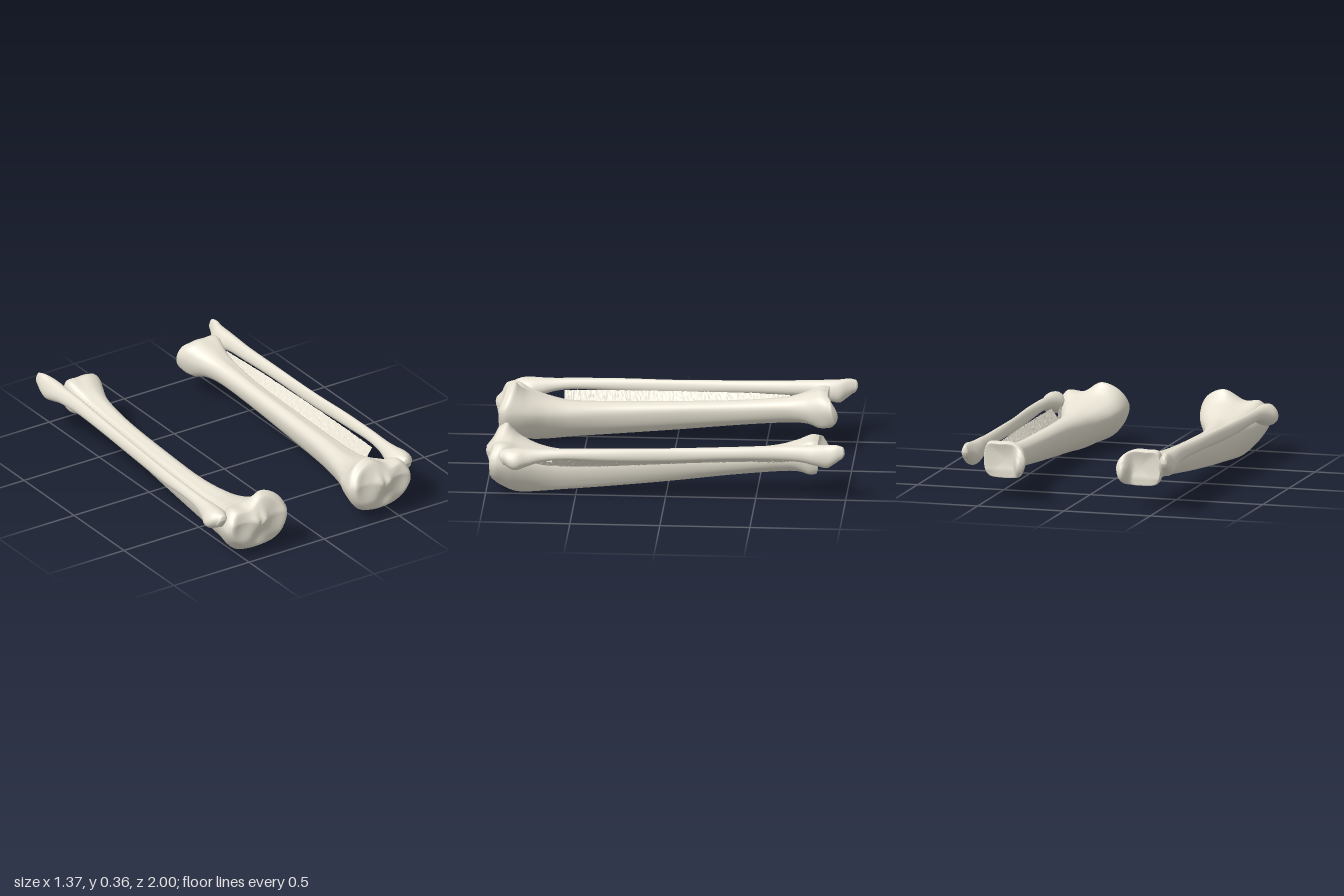
import * as THREE from 'three';

const { lerp, smoothstep } = THREE.MathUtils;
const boneMat = new THREE.MeshStandardMaterial({ color: 0xe6e1d2 });
const sheetMat = new THREE.MeshStandardMaterial({ color: 0xe6e1d2, side: THREE.DoubleSide, flatShading: true });

// Smooth interpolation through a table of stations, t in 0..1
function sample(table, t) {
  const f = t * (table.length - 1);
  const i = Math.min(Math.floor(f), table.length - 2);
  const u = f - i;
  const row = (k) => table[Math.max(0, Math.min(table.length - 1, k))];
  return row(i).map((b, c) => {
    const a = row(i - 1)[c], d = row(i + 1)[c], e = row(i + 2)[c];
    const m0 = (d - a) / 2, m1 = (e - b) / 2;
    return b + u * (m0 + u * (3 * (d - b) - 2 * m0 - m1 + u * (2 * (b - d) + m0 + m1)));
  });
}

// Closed loft from +z to -z with rounded caps; warp(x, y, z, s) returns a z shift
function loft(table, section, warp, capFront, capBack, rings, sides) {
  const pos = [], index = [];
  let count = 0;
  const addRing = (row, s, dz) => {
    const pts = section(row, sides);
    const cx = pts.reduce((a, p) => a + p[0], 0) / sides;
    const cy = pts.reduce((a, p) => a + p[1], 0) / sides;
    for (const p of pts) {
      const x = lerp(cx, p[0], s), y = lerp(cy, p[1], s), z = row[0] + dz;
      pos.push(x, y, z + warp(x, y, z, s));
    }
    count++;
  };
  const capSteps = [0, 0.12, 0.25, 0.38, 0.5, 0.62, 0.74, 0.84, 0.92, 0.975];
  for (const s of capSteps) addRing(table[0], s, capFront * Math.sqrt(1 - s * s));
  for (let i = 0; i <= rings; i++) addRing(sample(table, i / rings), 1, 0);
  for (const s of [...capSteps].reverse()) addRing(table[table.length - 1], s, -capBack * Math.sqrt(1 - s * s));
  for (let r = 0; r < count - 1; r++) {
    for (let k = 0; k < sides; k++) {
      const a = r * sides + k, b = r * sides + (k + 1) % sides;
      index.push(a, a + sides, b, b, a + sides, b + sides);
    }
  }
  const geo = new THREE.BufferGeometry();
  geo.setAttribute('position', new THREE.Float32BufferAttribute(pos, 3));
  geo.setIndex(index);
  geo.computeVertexNormals();
  return geo;
}

// Shin bone: z, xMedial, xLateral, yFront, yBackMedial, yBackLateral, xCrest, yWidest
const tibiaTable = [
  [0.968, 0.226, 0.598, 0.066, 0.348, 0.299, 0.44, 0.2],
  [0.935, 0.208, 0.612, 0.043, 0.362, 0.306, 0.455, 0.2],
  [0.87, 0.22, 0.6, 0.016, 0.33, 0.3, 0.465, 0.2],
  [0.8, 0.245, 0.572, 0.004, 0.284, 0.276, 0.465, 0.19],
  [0.7, 0.295, 0.535, 0.008, 0.25, 0.25, 0.46, 0.17],
  [0.58, 0.335, 0.512, 0.02, 0.235, 0.23, 0.46, 0.16],
  [0.35, 0.37, 0.5, 0.04, 0.232, 0.228, 0.455, 0.165],
  [0, 0.375, 0.49, 0.075, 0.243, 0.238, 0.445, 0.185],
  [-0.35, 0.37, 0.48, 0.115, 0.26, 0.255, 0.43, 0.2],
  [-0.6, 0.35, 0.487, 0.138, 0.285, 0.28, 0.42, 0.22],
  [-0.72, 0.315, 0.503, 0.142, 0.312, 0.312, 0.41, 0.225],
  [-0.8, 0.273, 0.514, 0.132, 0.338, 0.345, 0.41, 0.23],
  [-0.845, 0.264, 0.511, 0.138, 0.33, 0.338, 0.42, 0.23],
];

// Triangular along the shaft, wider at the knee and squarer at the ankle
function tibiaSection([z, x0, x1, y0, yM, yL, cx, yw], sides) {
  const knee = smoothstep(z, 0.8, 0.93), ankle = smoothstep(-z, 0.68, 0.83);
  const low = lerp(0.42, 0.17, ankle);
  const pts = [
    [cx, y0],
    [lerp(cx, x1, 0.75 - 0.13 * knee), lerp(y0, yw, low - 0.12 * knee)],
    [x1, yw],
    [lerp(x0, x1, 0.87 + 0.05 * ankle), lerp(yw, yL, 0.82 + 0.15 * knee + 0.06 * ankle)],
    [lerp(x0, x1, 0.64), Math.min(yM, yL) - 0.004 * knee],
    [lerp(x0, x1, 0.36), yM],
    [lerp(x0, x1, 0.1), lerp(yw, yM, 0.7)],
    [x0, yw + 0.01],
    [lerp(cx, x0, 0.75 - 0.07 * knee), lerp(y0, yw, low - 0.23 * knee)],
  ].map(([x, y]) => new THREE.Vector3(x, y, 0));
  const curve = new THREE.CatmullRomCurve3(pts, true, 'centripetal');
  return Array.from({ length: sides }, (_, k) => {
    const p = curve.getPoint(k / sides);
    return [p.x, p.y];
  });
}

const bump = (x, y, cx, cy, rx, ry) => Math.exp(-(((x - cx) / rx) ** 2) - ((y - cy) / ry) ** 2);

// Knee plateau with two dished facets and spines; ankle socket with a medial spur
function tibiaWarp(x, y, z, s) {
  const knee = smoothstep(z, 0.82, 0.96), ankle = smoothstep(-z, 0.74, 0.845);
  const face = 1 - smoothstep(s, 0.75, 1);
  let d = -knee * (0.42 * Math.max(0, y - 0.24) + 0.2 * Math.max(0, 0.13 - y));
  if (z > 0.9) {
    d += face * (0.016 * bump(x, y, 0.385, 0.235, 0.022, 0.04) + 0.016 * bump(x, y, 0.44, 0.235, 0.022, 0.04)
      - 0.016 * bump(x, y, 0.3, 0.235, 0.06, 0.08) - 0.016 * bump(x, y, 0.52, 0.21, 0.055, 0.07)
      - 0.018 * bump(x, y, 0.42, 0.13, 0.04, 0.04));
  }
  const spur = 1 - smoothstep(x, 0.305, 0.348);
  d += ankle * (0.3 * Math.max(0, 0.18 - y) - 0.054 * spur * bump(x, y, 0.3, 0.215, 0.05, 0.085));
  if (z < -0.8) d += 0.024 * (1 - s * s) * (1 - spur);
  return d;
}

// Slender outer bone: z, x0, x1, y0, y1
const fibulaTable = [
  [0.905, 0.575, 0.645, 0.205, 0.288],
  [0.87, 0.553, 0.676, 0.187, 0.298],
  [0.82, 0.547, 0.682, 0.183, 0.302],
  [0.76, 0.56, 0.66, 0.203, 0.302],
  [0.68, 0.574, 0.645, 0.23, 0.302],
  [0.55, 0.58, 0.64, 0.243, 0.306],
  [0.3, 0.577, 0.632, 0.236, 0.31],
  [0, 0.563, 0.612, 0.236, 0.313],
  [-0.35, 0.543, 0.602, 0.25, 0.323],
  [-0.6, 0.528, 0.594, 0.25, 0.332],
  [-0.75, 0.523, 0.6, 0.243, 0.337],
  [-0.83, 0.513, 0.607, 0.225, 0.34],
  [-0.9, 0.518, 0.607, 0.21, 0.343],
  [-0.95, 0.54, 0.605, 0.23, 0.347],
  [-0.985, 0.556, 0.597, 0.262, 0.34],
];

function fibulaSection([, x0, x1, y0, y1], sides) {
  return Array.from({ length: sides }, (_, k) => {
    const a = (k / sides) * Math.PI * 2 - Math.PI / 2;
    const r = 1 - 0.05 * Math.cos(3 * (a - Math.PI / 6));
    return [(x0 + x1) / 2 + ((x1 - x0) / 2) * Math.cos(a) * r, (y0 + y1) / 2 + ((y1 - y0) / 2) * Math.sin(a) * r];
  });
}

// Slanted head at the knee and slanted tip at the ankle
function fibulaWarp(x, y, z) {
  return -0.4 * Math.max(0, 0.26 - y) * smoothstep(z, 0.8, 0.9) + 0.35 * Math.max(0, 0.3 - y) * smoothstep(-z, 0.88, 0.98);
}

// Thin rough sheet: z, inner x, inner y, outer x, outer y
function sheet(table, nz, nw, rough) {
  let seed = 7;
  const rand = () => (seed = (seed * 16807) % 2147483647) / 2147483647 - 0.5;
  const geo = new THREE.PlaneGeometry(1, 1, nw, nz);
  const pos = geo.attributes.position;
  for (let i = 0; i < pos.count; i++) {
    const u = pos.getX(i) + 0.5, t = 0.5 - pos.getY(i);
    const [z, xi, yi, xo, yo] = sample(table, t);
    pos.setXYZ(i, lerp(xi, xo, u) + rand() * rough, lerp(yi, yo, u) + rand() * rough, z + rand() * rough);
  }
  geo.computeVertexNormals();
  return geo;
}

// Reflect a geometry in x and restore its winding
function mirrored(geo) {
  const g = geo.clone().scale(-1, 1, 1);
  const ix = g.index;
  for (let i = 0; i < ix.count; i += 3) {
    const b = ix.getX(i + 1);
    ix.setX(i + 1, ix.getX(i + 2));
    ix.setX(i + 2, b);
  }
  g.computeVertexNormals();
  return g;
}

export function createModel() {
  const parts = [
    ['Tibia', loft(tibiaTable, tibiaSection, tibiaWarp, 0.022, 0.008, 110, 72), boneMat],
    ['Fibula', loft(fibulaTable, fibulaSection, fibulaWarp, 0.015, 0.015, 90, 32), boneMat],
    ['Membrane', sheet([
      [0.63, 0.505, 0.16, 0.565, 0.25],
      [0.35, 0.495, 0.167, 0.56, 0.257],
      [0, 0.485, 0.185, 0.55, 0.262],
      [-0.4, 0.474, 0.202, 0.532, 0.267],
      [-0.76, 0.5, 0.218, 0.52, 0.258],
    ], 160, 8, 0.003), sheetMat],
    ['MembraneArm', sheet([
      [0.8, 0.535, 0.18, 0.562, 0.245],
      [0.71, 0.522, 0.167, 0.55, 0.22],
      [0.62, 0.505, 0.16, 0.53, 0.197],
    ], 20, 4, 0.003), sheetMat],
  ];
  const model = new THREE.Group();
  model.name = 'lowerLegBones';
  for (const side of ['left', 'right']) {
    const leg = new THREE.Group();
    leg.name = side + 'Leg';
    for (const [name, geo, mat] of parts) {
      const mesh = new THREE.Mesh(side === 'left' ? geo : mirrored(geo), mat);
      mesh.name = side + name;
      leg.add(mesh);
    }
    model.add(leg);
  }
  return model;
}
